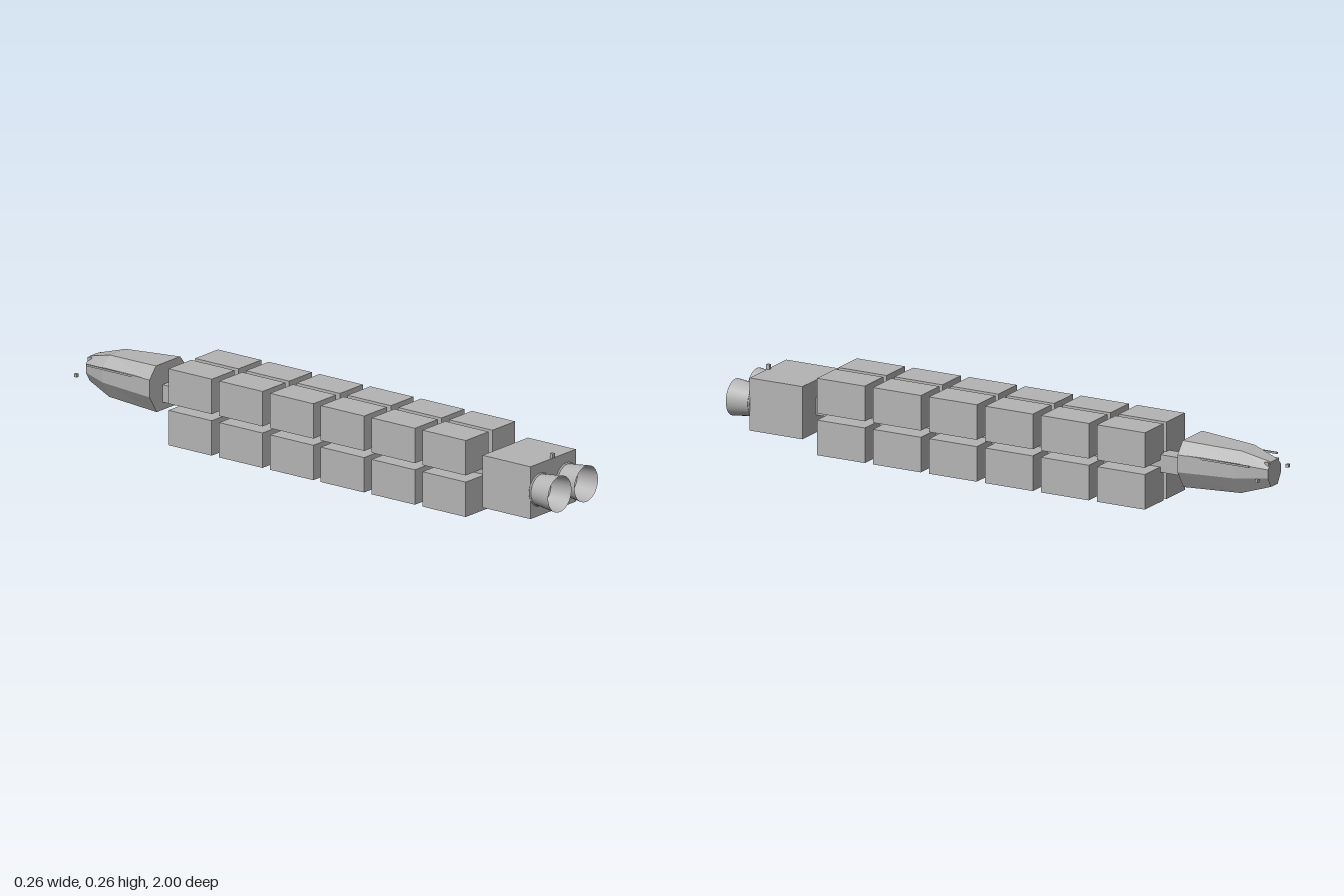
import * as THREE from 'three';

const hull = new THREE.MeshStandardMaterial({ color: 0xb4b4b4 });
hull.name = 'hullGrey';
const shell = new THREE.MeshStandardMaterial({ color: 0xb4b4b4, side: THREE.DoubleSide });
shell.name = 'nozzleGrey';

function add(group, name, geometry, x = 0, y = 0, z = 0, material = hull) {
  const mesh = new THREE.Mesh(geometry, material);
  mesh.name = name;
  mesh.position.set(x, y, z);
  group.add(mesh);
  return mesh;
}

const box = (w, h, d) => new THREE.BoxGeometry(w, h, d);

// Eight-sided ring: half widths and heights of the top, upper side, lower side and bottom
function ring(z, [topW, topY, upW, upY, lowW, lowY, botW, botY]) {
  const half = [[topW, topY], [upW, upY], [lowW, lowY], [botW, botY]];
  const mirrored = half.map(([x, y]) => [-x, y]).reverse();
  return [...half, ...mirrored].map(([x, y]) => [x, y, z]);
}

// Faceted skin through the rings, closed at both ends; rings run toward -z
function loft(rings) {
  const pos = [];
  const tri = (a, b, c) => pos.push(...a, ...b, ...c);
  const n = rings[0].length;
  for (let r = 0; r < rings.length - 1; r++) {
    const front = rings[r], back = rings[r + 1];
    for (let i = 0; i < n; i++) {
      const j = (i + 1) % n;
      tri(front[i], front[j], back[j]);
      tri(front[i], back[j], back[i]);
    }
  }
  const first = rings[0], last = rings[rings.length - 1];
  for (let i = 1; i < n - 1; i++) {
    tri(first[0], first[i + 1], first[i]);
    tri(last[0], last[i], last[i + 1]);
  }
  const geometry = new THREE.BufferGeometry();
  geometry.setAttribute('position', new THREE.Float32BufferAttribute(pos, 3));
  geometry.computeVertexNormals();
  return geometry;
}

export function createModel() {
  const model = new THREE.Group();
  model.name = 'cargoShip';

  // Central spine
  add(model, 'spine', box(0.06, 0.06, 1.43), 0, 0.132, 0.01);

  // Six rows of four cargo containers
  const cargo = new THREE.Group();
  cargo.name = 'cargo';
  model.add(cargo);
  for (let row = 0; row < 6; row++) {
    for (const x of [-0.0705, 0.0705]) {
      for (const y of [0.06, 0.203]) {
        add(cargo, 'container', box(0.121, 0.12, 0.181), x, y, 0.565 - row * 0.212);
      }
    }
  }

  // Engine block with a small beacon on its top edge
  add(model, 'engineBlock', box(0.24, 0.18, 0.2), 0, 0.132, 0.817);
  add(model, 'beacon', box(0.012, 0.016, 0.012), 0, 0.23, 0.914);

  // Flared nozzles with base collars
  for (const x of [-0.07, 0.07]) {
    const nozzle = new THREE.Group();
    nozzle.name = 'nozzle';
    nozzle.position.set(x, 0.132, 0);
    model.add(nozzle);
    const bell = new THREE.CylinderGeometry(0.062, 0.052, 0.085, 28, 1, true).rotateX(Math.PI / 2);
    add(nozzle, 'bell', bell, 0, 0, 0.9575, shell);
    add(nozzle, 'collar', new THREE.TorusGeometry(0.053, 0.004, 6, 28), 0, 0, 0.918);
    add(nozzle, 'throat', new THREE.CircleGeometry(0.052, 28), 0, 0, 0.919);
  }

  // Faceted command module
  add(model, 'commandModule', loft([
    ring(-0.69, [0.064, 0.235, 0.098, 0.195, 0.098, 0.135, 0.06, 0.075]),
    ring(-0.9, [0.042, 0.225, 0.08, 0.19, 0.08, 0.14, 0.045, 0.082]),
    ring(-1, [0.022, 0.197, 0.042, 0.175, 0.042, 0.145, 0.022, 0.112]),
  ]));

  // Sensor bar, side antennas and free-floating navigation lights
  add(model, 'sensorBar', box(0.07, 0.012, 0.016), 0, 0.191, -0.99);
  for (const side of [-1, 1]) {
    add(model, 'antenna', box(0.006, 0.006, 0.26), side * 0.092, 0.192, -0.828);
    add(model, 'navigationLight', box(0.011, 0.011, 0.011), side * 0.101, 0.152, -0.993);
  }

  return model;
}
